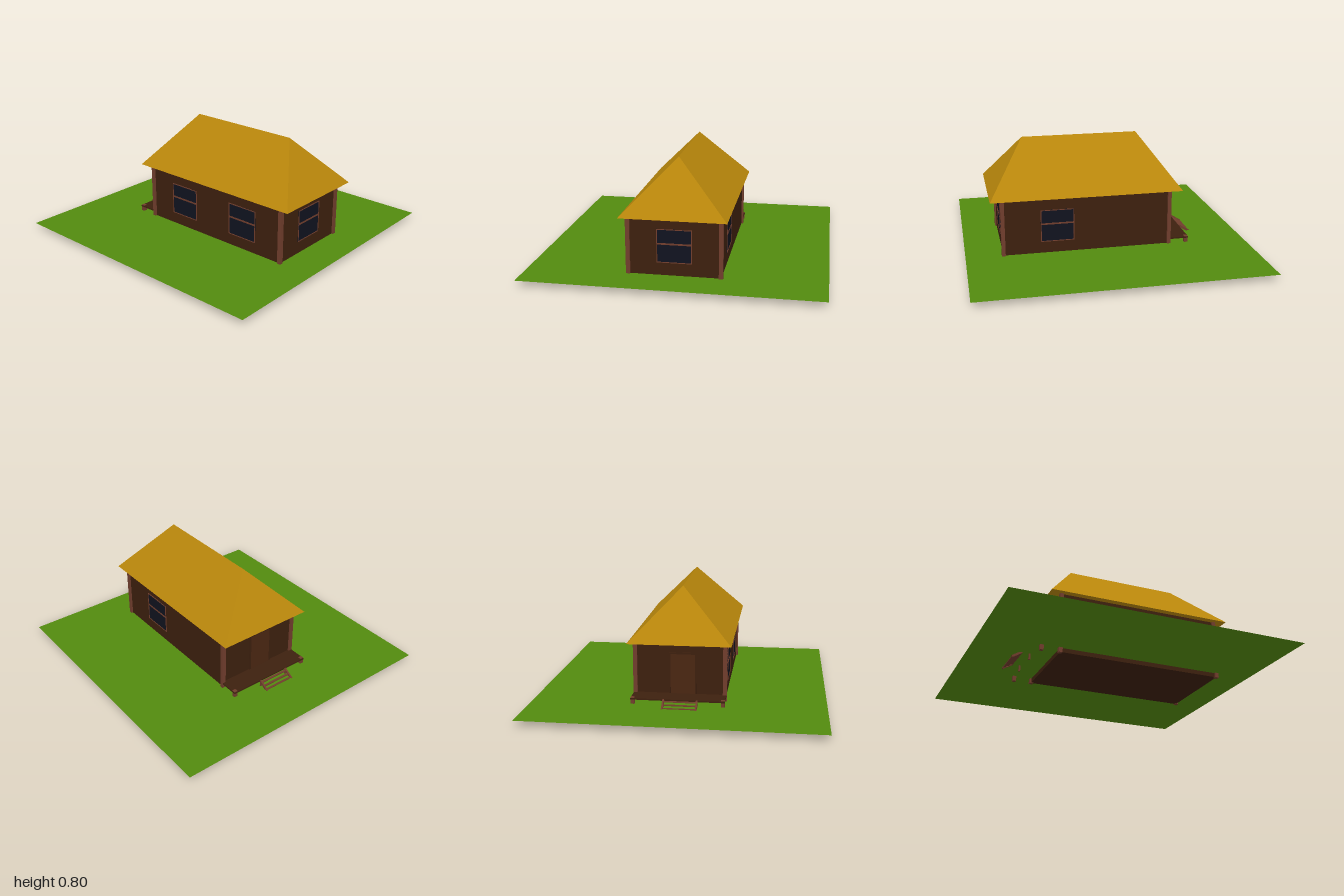
import * as THREE from 'three';

const paint = (color, side = THREE.FrontSide) => {
  const m = new THREE.MeshStandardMaterial({ side });
  m.color.set(color);
  return m;
};

export function createModel() {
  const model = new THREE.Group();
  const grass = paint(0x528a0e, THREE.DoubleSide);
  const thatch = paint(0xb8860b);
  const darkWood = paint(0x3d200e);
  const doorWood = paint(0x4a2612);
  const trim = paint(0x703d2c);
  const glass = paint(0x10131f);

  // Box given by its lower and upper corner
  function box(name, mat, [x0, y0, z0], [x1, y1, z1], parent = model) {
    const mesh = new THREE.Mesh(new THREE.BoxGeometry(x1 - x0, y1 - y0, z1 - z0), mat);
    mesh.position.set((x0 + x1) / 2, (y0 + y1) / 2, (z0 + z1) / 2);
    mesh.name = name;
    parent.add(mesh);
    return mesh;
  }

  // Lawn: a thin sheet, with the footings reaching below it
  const lawn = new THREE.Mesh(new THREE.PlaneGeometry(2, 2), grass);
  lawn.rotation.x = -Math.PI / 2;
  lawn.position.y = 0.05;
  lawn.name = 'lawn';
  model.add(lawn);

  // House body and corner posts
  box('walls', darkWood, [-0.443, 0.02, -0.31], [0.74, 0.452, 0.31]);
  for (const x of [-0.442, 0.739])
    for (const z of [-0.309, 0.309])
      box('cornerPost', trim, [x - 0.013, 0.015, z - 0.014], [x + 0.013, 0.45, z + 0.014]);

  // Hipped roof: a box whose top face is drawn in to the ridge
  const [rx0, rx1, ridge0, ridge1] = [-0.527, 0.822, -0.265, 0.56];
  const roofGeo = new THREE.BoxGeometry(1, 1, 1);
  const p = roofGeo.attributes.position;
  for (let i = 0; i < p.count; i++) {
    const top = p.getY(i) > 0;
    const left = p.getX(i) > 0;
    p.setXYZ(i,
      top ? (left ? ridge1 : ridge0) : (left ? rx1 : rx0),
      top ? 0.81 : 0.45,
      top ? 0 : Math.sign(p.getZ(i)) * 0.355);
  }
  roofGeo.computeVertexNormals();
  const roof = new THREE.Mesh(roofGeo, thatch);
  roof.name = 'roof';
  model.add(roof);

  // Sash window built facing +z, then turned to its wall
  function addWindow(x, y, z, turn) {
    const w = new THREE.Group();
    const [hw, hh, t] = [0.117, 0.115, 0.005];
    box('panes', glass, [-hw, -hh, -0.004], [hw, hh, 0.002], w);
    for (const s of [-1, 1]) {
      box('frameSide', trim, [s * (hw - t / 2) - t / 2, -hh, -0.004], [s * (hw - t / 2) + t / 2, hh, 0.005], w);
      box('frameRail', trim, [-hw, s * (hh - t / 2) - t / 2, -0.004], [hw, s * (hh - t / 2) + t / 2, 0.005], w);
    }
    box('crossBar', trim, [-hw, 0.009, -0.004], [hw, 0.02, 0.005], w);
    w.position.set(x, y, z);
    w.rotation.y = turn;
    w.name = 'window';
    model.add(w);
  }
  addWindow(-0.128, 0.247, 0.31, 0);
  addWindow(0.41, 0.247, 0.31, 0);
  addWindow(0.36, 0.247, -0.31, Math.PI);
  addWindow(0.74, 0.252, 0, Math.PI / 2);

  // Door in the porch wall
  const mid = 0.02;
  box('door', doorWood, [-0.447, 0.09, mid - 0.085], [-0.44, 0.37, mid + 0.085]);
  for (const s of [-1, 1])
    box('doorJamb', darkWood, [-0.45, 0.09, mid + s * 0.09 - 0.006], [-0.44, 0.38, mid + s * 0.09 + 0.006]);
  box('doorLintel', darkWood, [-0.45, 0.37, mid - 0.096], [-0.44, 0.382, mid + 0.096]);

  // Porch deck on short posts
  box('porchDeck', darkWood, [-0.588, 0.081, -0.32], [-0.44, 0.091, 0.32]);
  for (const z of [-0.306, 0.306])
    box('porchPost', trim, [-0.584, 0.013, z - 0.013], [-0.559, 0.095, z + 0.013]);

  // Stairs: sloping stringers, treads and two upright supports
  const foot = new THREE.Vector2(-0.718, 0.012);
  const head = new THREE.Vector2(-0.594, 0.088);
  const run = head.clone().sub(foot);
  const stairs = new THREE.Group();
  stairs.name = 'stairs';
  model.add(stairs);
  for (const s of [-1, 1]) {
    const z = mid + s * 0.113;
    const stringer = box('stringer', trim, [0, 0, z - 0.006], [run.length(), 0.015, z + 0.006], stairs);
    stringer.position.set((foot.x + head.x) / 2, (foot.y + head.y) / 2, z);
    stringer.rotation.z = run.angle();
    box('stairSupport', trim, [-0.603, 0.008, z - 0.006], [-0.592, 0.094, z + 0.006], stairs);
  }
  for (let i = 0; i < 5; i++) {
    const c = foot.clone().lerp(head, 0.08 + i * 0.21);
    box('tread', trim, [c.x - 0.008, c.y - 0.003, mid - 0.11], [c.x + 0.008, c.y + 0.003, mid + 0.11], stairs);
  }

  return model;
}
